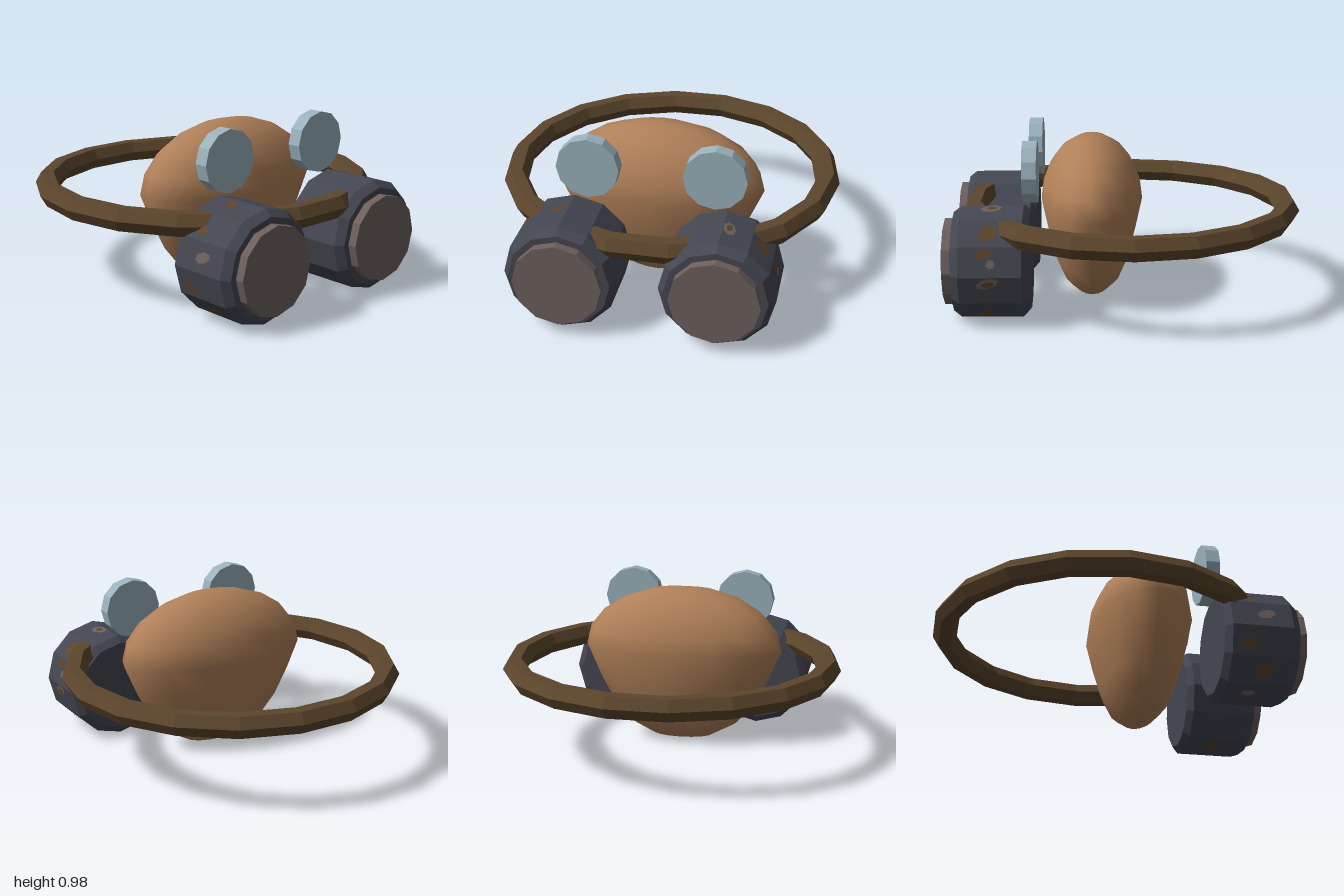
import * as THREE from 'three';
import { mergeVertices } from 'three/addons/utils/BufferGeometryUtils.js';

const paint = (name, color, extra = {}) => {
  const m = new THREE.MeshStandardMaterial({ color, ...extra });
  m.name = name;
  return m;
};

export function createModel() {
  const root = new THREE.Group();
  root.name = 'model';
  const leather = paint('strap brown', 0x5c452c, { flatShading: true });
  const skin = paint('body tan', 0xb08058);
  const steel = paint('dark steel', 0x444651, { flatShading: true });
  const lensGrey = paint('lens grey', 0x6d605c, { flatShading: true });
  const glass = paint('pale blue', 0x9ab2bd, { flatShading: true });
  const rust = paint('rust', 0x5e4429, { flatShading: true });

  const add = (parent, name, geometry, material, x = 0, y = 0, z = 0) => {
    const mesh = new THREE.Mesh(geometry, material);
    mesh.name = name;
    mesh.position.set(x, y, z);
    parent.add(mesh);
    return mesh;
  };

  // Strap: a faceted horizontal ring that runs through both barrels
  const ring = new THREE.TorusGeometry(0.91, 0.07, 6, 18).rotateX(-Math.PI / 2);
  add(root, 'strapRing', ring, leather, 0, 0.535, -0.033);

  // Body: egg-like form, shallow dome on top and a tapered lower half
  let egg = new THREE.SphereGeometry(1, 16, 10);
  egg.deleteAttribute('uv');
  egg.deleteAttribute('normal');
  egg = mergeVertices(egg, 1e-4);
  const p = egg.attributes.position;
  for (let i = 0; i < p.count; i++) {
    const y = p.getY(i);
    const taper = y < 0 ? 1 - 0.1 * Math.sin(-y * Math.PI) : 1;
    p.setXYZ(i, p.getX(i) * 0.595 * taper, y * (y > 0 ? 0.375 : 0.565), p.getZ(i) * 0.295 * taper);
  }
  egg.computeVertexNormals();
  add(root, 'body', egg, skin, -0.02, 0.57, 0.195);

  // Barrel: bevelled twelve-sided drum along z
  const profile = [[0, 0.53], [0.275, 0.53], [0.315, 0.565], [0.315, 0.905], [0.28, 0.95], [0, 0.95]];
  const drum = new THREE.LatheGeometry(profile.map(([r, z]) => new THREE.Vector2(r, z)), 12).rotateX(Math.PI / 2);
  const lens = new THREE.CylinderGeometry(0.245, 0.245, 0.06, 12).rotateX(Math.PI / 2);
  const disc = new THREE.CylinderGeometry(0.175, 0.175, 0.08, 12).rotateX(Math.PI / 2);

  // Wear marks: thin polygons lying on the drum's facets
  // [facet angle in degrees, shift along facet, z, half width, half length, tilt, rusty]
  const marks = {
    left: [
      [15, 0.045, 0.77, 0.03, 0.05, 0.2, true], [-15, 0.045, 0.75, 0.03, 0.065, 0.3, false],
      [-15, 0.04, 0.745, 0.016, 0.035, 0.2, true], [15, -0.01, 0.73, 0.025, 0.025, 0, false],
      [45, 0.0, 0.75, 0.045, 0.055, 0.6, true], [75, 0.045, 0.74, 0.035, 0.06, 0.2, false],
      [75, 0.045, 0.735, 0.018, 0.03, 0, true], [-45, -0.03, 0.76, 0.035, 0.05, 0.5, true],
      [-105, 0, 0.72, 0.03, 0.05, 0.4, true],
    ],
    right: [
      [105, -0.03, 0.71, 0.045, 0.03, 0.6, true], [135, 0.03, 0.7, 0.03, 0.03, 0, true],
      [165, 0, 0.76, 0.03, 0.055, 0.3, false], [195, 0.02, 0.66, 0.03, 0.05, -0.4, true],
      [225, 0, 0.76, 0.035, 0.05, 0.5, true], [255, 0, 0.7, 0.025, 0.04, 0, false],
    ],
  };
  const apothem = 0.315 * Math.cos(Math.PI / 12);

  for (const [side, s] of [['left', 1], ['right', -1]]) {
    const barrel = new THREE.Group();
    barrel.name = side + 'Barrel';
    barrel.position.set(s * 0.423, 0.325, 0);
    root.add(barrel);
    add(barrel, side + 'Drum', drum, steel);
    add(barrel, side + 'Lens', lens, lensGrey, 0, 0, 0.97);
    for (const [deg, shift, z, w, l, tilt, rusty] of marks[side]) {
      const facet = new THREE.Group();
      facet.name = 'wearFacet';
      facet.rotation.z = THREE.MathUtils.degToRad(deg);
      barrel.add(facet);
      const spot = new THREE.CircleGeometry(1, 7).scale(l, w, 1).rotateZ(tilt).rotateY(Math.PI / 2);
      add(facet, 'wearMark', spot, rusty ? rust : lensGrey, apothem + (rusty ? 0.005 : 0.003), shift, z);
    }

    // Pale disc standing above the barrel
    add(root, side + 'Disc', disc, glass, s * 0.35, 0.812, 0.53);
  }
  return root;
}
